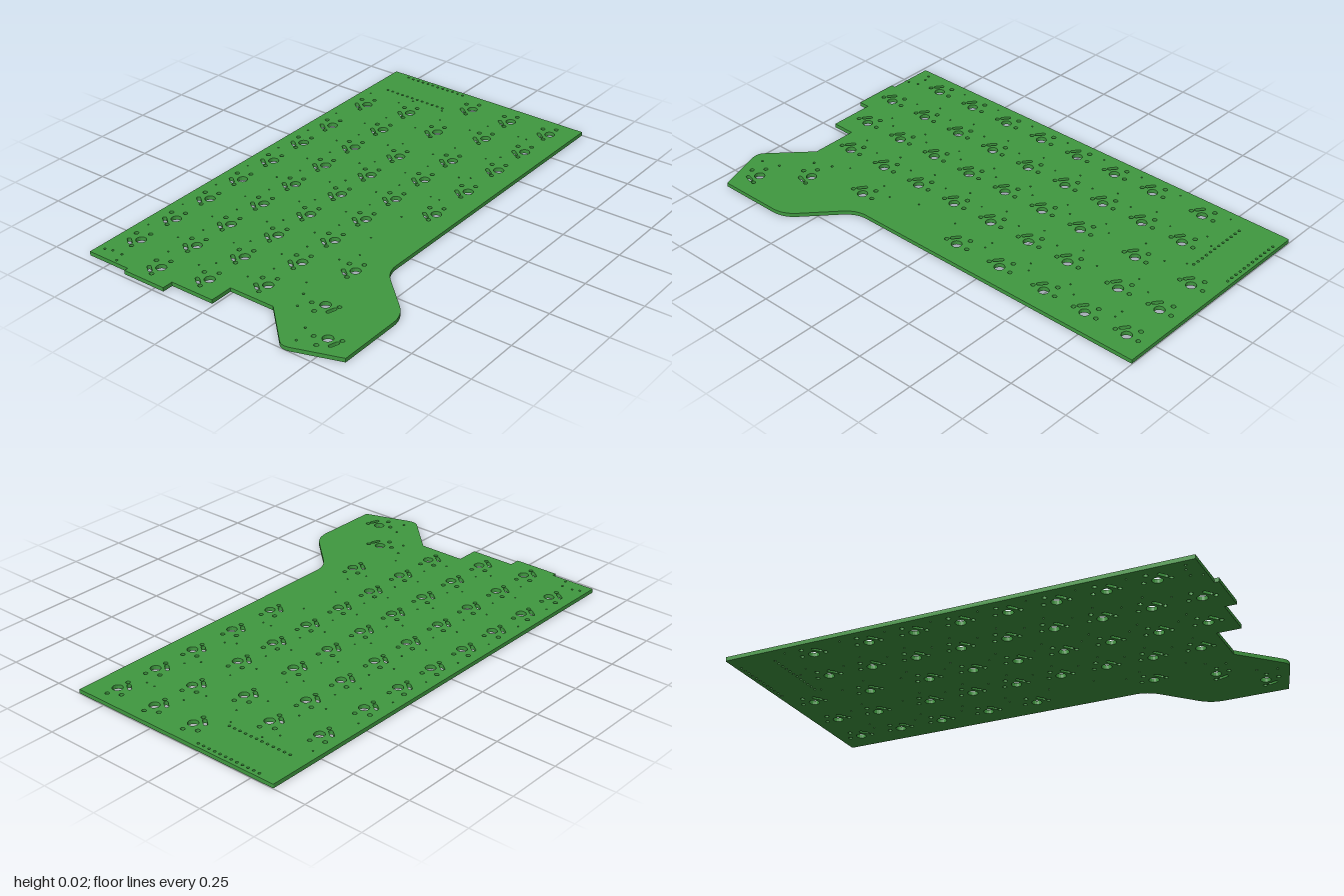
import * as THREE from 'three';

const THICKNESS = 0.017;

// Rows of key switches: depth z, then the x of each switch
const ROWS = [
  { z: -0.507, xs: [-0.786, -0.588, -0.39, -0.192, 0.006, 0.204, 0.402, 0.65] },
  { z: -0.309, xs: [-0.885, -0.687, -0.489, -0.291, -0.093, 0.105, 0.303, 0.501, 0.699] },
  { z: -0.11, xs: [-0.837, -0.639, -0.441, -0.243, -0.045, 0.153, 0.351, 0.624, 0.891] },
  { z: 0.088, xs: [-0.736, -0.538, -0.34, -0.142, 0.056, 0.254, 0.452, 0.699, 0.894] },
  { z: 0.285, xs: [-0.465, 0.056, 0.279, 0.501, 0.699, 0.896] },
];
// Turned thumb switches
const THUMBS = [[-0.711, 0.337], [-0.873, 0.476]];
// Loose small holes
const VIAS = [
  [-0.949, -0.478], [-0.917, -0.572], [-0.906, -0.54], [-0.906, -0.492],
  [-0.778, 0.26], [-0.703, 0.228], [-0.948, 0.394], [-0.869, 0.371],
];

// Board edge, drawn in (x, -z)
function boardShape() {
  const s = new THREE.Shape();
  s.moveTo(-0.965, 0.603);
  s.lineTo(-0.965, 0.405);
  s.lineTo(-0.983, 0.405);
  s.lineTo(-0.983, 0.208);
  s.lineTo(-0.935, 0.208);
  s.lineTo(-0.935, 0.011);
  s.lineTo(-0.834, 0.011);
  s.lineTo(-0.834, -0.193);
  s.lineTo(-0.987, -0.35);
  s.quadraticCurveTo(-1.009, -0.373, -0.995, -0.41);
  s.lineTo(-0.931, -0.6);
  s.lineTo(-0.655, -0.6);
  s.quadraticCurveTo(-0.6, -0.6, -0.56, -0.56);
  s.lineTo(-0.435, -0.425);
  s.quadraticCurveTo(-0.395, -0.384, -0.345, -0.384);
  s.lineTo(0.998, -0.384);
  s.lineTo(0.998, 0.598);
  s.quadraticCurveTo(0.998, 0.603, 0.993, 0.603);
  s.closePath();
  return s;
}

function roundHole(x, z, r) {
  const h = new THREE.Path();
  h.absarc(x, -z, r, 0, Math.PI * 2, true);
  return h;
}

// Slot with round ends between two points
function slotHole([x1, z1], [x2, z2], r) {
  const a = Math.atan2(z1 - z2, x2 - x1);
  const h = new THREE.Path();
  h.absarc(x1, -z1, r, a - Math.PI / 2, a + Math.PI / 2, true);
  h.absarc(x2, -z2, r, a + Math.PI / 2, a - Math.PI / 2, true);
  h.closePath();
  return h;
}

// Centre post, two side pegs, one pin and one slotted pin
function switchHoles(x, z, angle = 0) {
  const c = Math.cos(angle), s = Math.sin(angle);
  const at = (u, v) => [x + u * c - v * s, z + u * s + v * c];
  return [
    roundHole(x, z, 0.0215),
    roundHole(...at(-0.053, 0), 0.009),
    roundHole(...at(0.053, 0), 0.009),
    roundHole(...at(0.0264, -0.05), 0.0095),
    slotHole(at(-0.041, -0.018), at(-0.023, -0.041), 0.008),
  ];
}

export function createModel() {
  const group = new THREE.Group();
  group.name = 'keyboardCircuitBoard';
  const shape = boardShape();

  // Switch rows, with a pair of diode holes beside each switch
  ROWS.forEach(({ z, xs }, row) => {
    for (const x of xs) {
      shape.holes.push(...switchHoles(x, z));
      if (x > 0.85) continue;
      shape.holes.push(roundHole(x + 0.099, z - 0.056, 0.0035));
      if (row < 4) shape.holes.push(roundHole(x + 0.099, z + 0.1, 0.0035));
    }
  });
  for (const [x, z] of THUMBS) {
    shape.holes.push(...switchHoles(x, z, THREE.MathUtils.degToRad(-110)));
  }

  // Two columns of controller pin holes
  for (const x of [0.82, 0.978]) {
    for (let i = 0; i < 12; i++) shape.holes.push(roundHole(x, -0.52 + i * 0.027, 0.0055));
  }
  for (const [x, z] of VIAS) shape.holes.push(roundHole(x, z, 0.005));

  const geometry = new THREE.ExtrudeGeometry(shape, {
    depth: THICKNESS, bevelEnabled: false, curveSegments: 8,
  });
  geometry.rotateX(-Math.PI / 2);
  const board = new THREE.Mesh(geometry, new THREE.MeshStandardMaterial({ color: 0x409940 }));
  board.name = 'board';
  group.add(board);
  return group;
}
